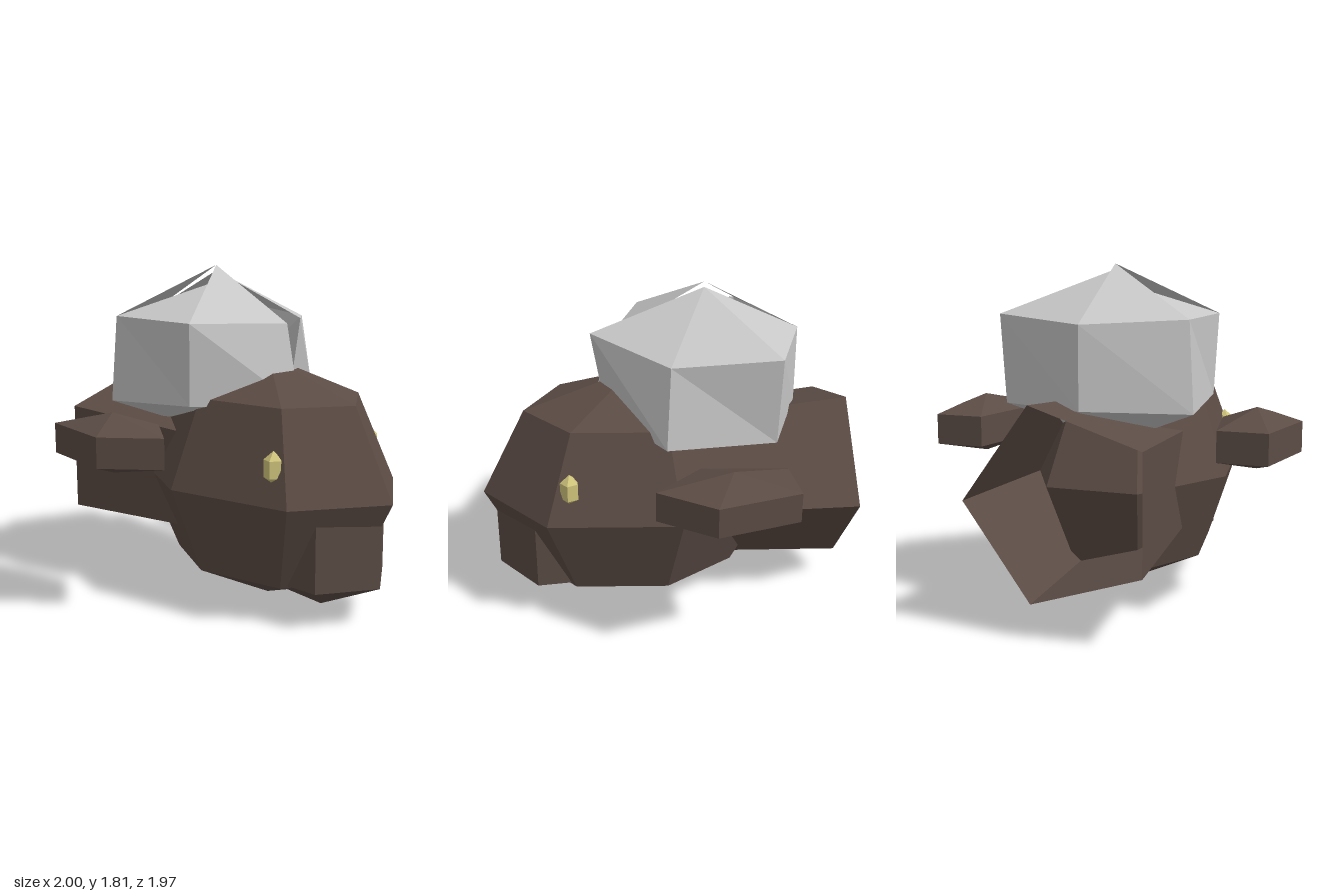
import * as THREE from 'three';

const mat = (name, color, side = THREE.FrontSide) => {
  const m = new THREE.MeshStandardMaterial({ color, flatShading: true, side });
  m.name = name;
  return m;
};

// Low-poly ellipsoid with one corner of its outline pointing to +x
function blob(name, material, sides, rings, size, position) {
  const geometry = new THREE.SphereGeometry(1, sides, rings);
  geometry.rotateY(Math.PI);
  geometry.scale(...size);
  const mesh = new THREE.Mesh(geometry, material);
  mesh.name = name;
  mesh.position.set(...position);
  return mesh;
}

// Six-sided uneven tuft: two rings with an open seam at +x, each top facet with its own peak height
function tuftGeometry() {
  const upper = [[0.29, 1.535, 0], [0.055, 1.555, 0.49], [-0.51, 1.555, 0.49], [-0.75, 1.535, 0],
    [-0.53, 1.565, -0.525], [0.025, 1.525, -0.437], [0.38, 1.57, 0]];
  const lower = [[0.38, 1.1, 0], [0.03, 1.12, 0.47], [-0.53, 1.09, 0.52], [-0.75, 1.11, 0],
    [-0.52, 1.1, -0.5], [0.055, 1.1, -0.5], [0.3, 1.1, 0]];
  const peaks = [1.82, 1.73, 1.82, 1.79, 1.79, 1.79];
  const base = [-0.23, 0.87, 0];
  const points = [];
  peaks.forEach((y, i) => {
    const [a, b, c, d] = [upper[i], upper[i + 1], lower[i], lower[i + 1]];
    points.push([-0.23, y, 0], b, a, b, d, c, b, c, a, base, c, d);
  });
  const geometry = new THREE.BufferGeometry();
  geometry.setAttribute('position', new THREE.Float32BufferAttribute(points.flat(), 3));
  geometry.computeVertexNormals();
  return geometry;
}

export function createModel() {
  const group = new THREE.Group();
  group.name = 'animalHead';
  const fur = mat('brown fur', 0x5c4c45);
  const openFur = fur; // the neck tube is open at its end
  fur.side = THREE.DoubleSide;
  const hair = mat('pale grey hair', 0xc8c8c8, THREE.DoubleSide);
  const yellow = mat('yellow eye', 0xd0c57c);

  // Head and muzzle
  group.add(blob('head', fur, 7, 4, [0.835, 0.67, 0.573], [0.16, 0.68, 0]));
  group.add(blob('muzzle', fur, 6, 3, [0.445, 0.36, 0.387], [0.545, 0.4, 0]));

  // Ears and eyes on both sides
  for (const s of [-1, 1]) {
    const side = s > 0 ? 'Front' : 'Back';
    group.add(blob('ear' + side, fur, 5, 3, [0.45, 0.16, 0.256], [-0.23, 0.94, s * 0.772]));
    group.add(blob('eye' + side, yellow, 5, 3, [0.058, 0.09, 0.058], [0.55, 0.867, s * 0.4]));
  }

  // Five-sided tapering neck, open at the back
  const neckGeometry = new THREE.CylinderGeometry(0.515, 0.435, 1, 5, 1, true);
  neckGeometry.rotateY(Math.PI);
  neckGeometry.rotateZ(Math.PI / 2);
  const neck = new THREE.Mesh(neckGeometry, openFur);
  neck.name = 'neck';
  neck.position.set(-0.5, 0.68, 0);
  group.add(neck);

  // Hair tuft
  const tuft = new THREE.Mesh(tuftGeometry(), hair);
  tuft.name = 'hairTuft';
  group.add(tuft);

  return group;
}
